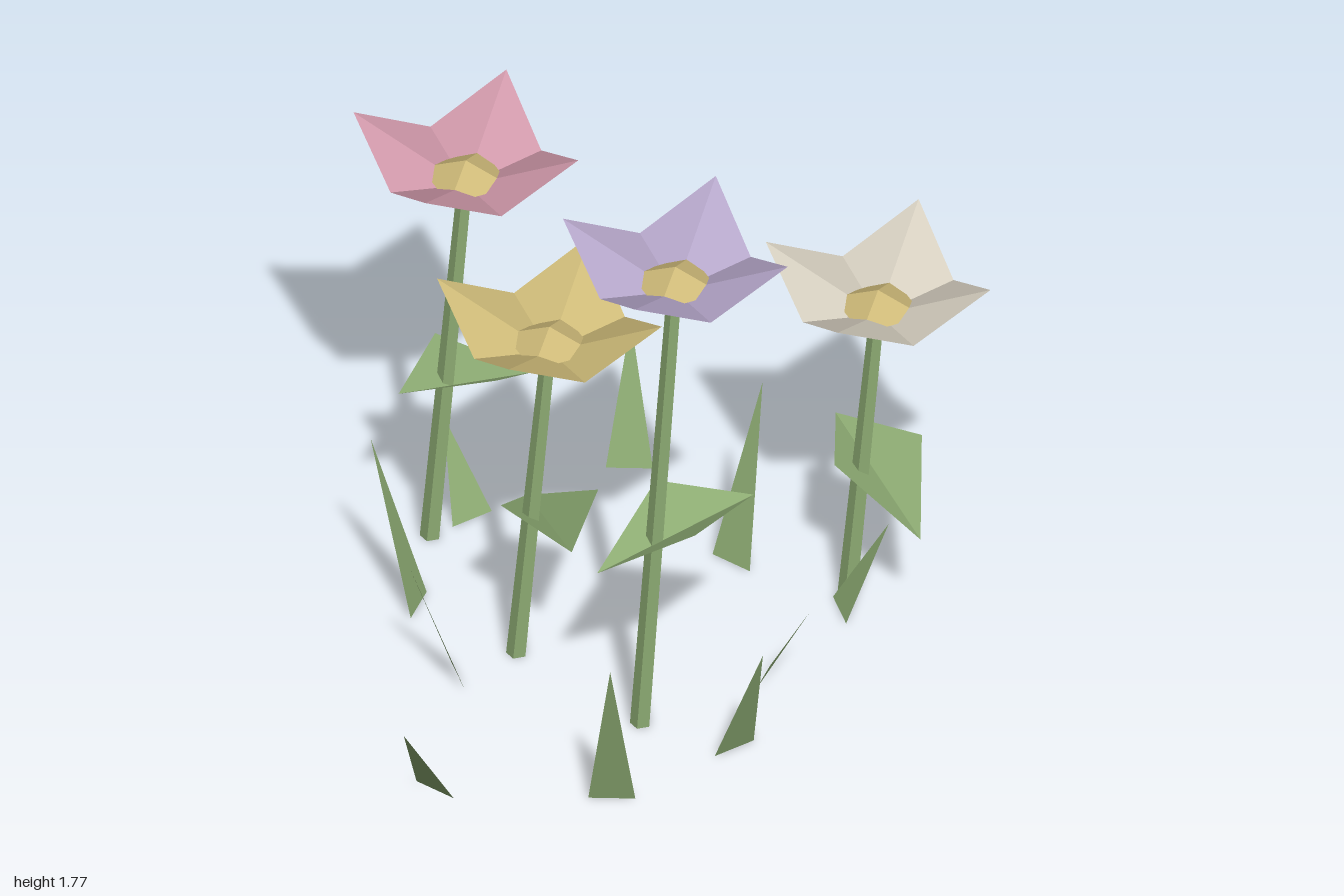
import * as THREE from 'three';

const flat = (name, color) =>
  Object.assign(new THREE.MeshStandardMaterial({ color, flatShading: true, side: THREE.DoubleSide }), { name });

const green = flat('leaf green', 0x8caa72);
const amber = flat('flower centre amber', 0xcdb978);
const rose = flat('rose petal', 0xcf98a9);
const gold = flat('gold petal', 0xcdba78);
const lilac = flat('lilac petal', 0xb5a6c9);
const ivory = flat('ivory petal', 0xd5cebf);

// Faceted surface from a list of triangles, each made of three [x, y, z] corners
function facets(triangles) {
  const g = new THREE.BufferGeometry();
  g.setAttribute('position', new THREE.Float32BufferAttribute(triangles.flat(2), 3));
  g.computeVertexNormals();
  return g;
}

// Kite folded along the line from base to tip
const foldedKite = (base, left, tip, right) => facets([[base, tip, left], [base, right, tip]]);

function add(parent, name, geometry, material) {
  const mesh = new THREE.Mesh(geometry, material);
  mesh.name = name;
  parent.add(mesh);
  return mesh;
}

const petalShape = foldedKite([0, -0.18, 0], [-0.175, -0.13, 0.175], [0, 0, 0.355], [0.175, -0.13, 0.175]);
const leafShape = foldedKite([-0.252, 0, 0], [0, 0.17, -0.15], [0.252, 0.147, 0], [0, 0.17, 0.15]);

// head: x, z and petal tip height; foot: x, z; leaf: base height and heading
const FLOWERS = [
  { name: 'rose', petal: rose, head: [-0.63, 1.455, -0.40], foot: [-0.72, -0.34], leaf: [0.47, -2.14] },
  { name: 'gold', petal: gold, head: [-0.195, 1.28, 0.075], foot: [-0.28, 0.125], leaf: [0.39, -0.96] },
  { name: 'lilac', petal: lilac, head: [0.28, 1.77, 0.29], foot: [0.185, 0.33], leaf: [0.62, 0.743] },
  { name: 'ivory', petal: ivory, head: [0.625, 1.2, -0.53], foot: [0.545, -0.49], leaf: [0.35, 2.44] },
];

function makeFlower({ name, petal, head, foot, leaf }) {
  const flower = new THREE.Group();
  flower.name = name + 'Flower';
  const [x, y, z] = head;

  // Leaning five-sided stem with a level foot
  const height = y - 0.16;
  const stem = new THREE.CylinderGeometry(0.024, 0.032, height, 5).translate(0, height / 2, 0);
  const p = stem.attributes.position;
  for (let i = 0; i < p.count; i++) {
    const t = p.getY(i) / height;
    p.setX(i, p.getX(i) + foot[0] + (x - foot[0]) * t);
    p.setZ(i, p.getZ(i) + foot[1] + (z - foot[1]) * t);
  }
  stem.computeVertexNormals();
  add(flower, 'stem', stem, green);

  // Four upswept petals around a squashed octahedral centre
  const bloom = new THREE.Group();
  bloom.name = 'bloom';
  bloom.position.set(x, y, z);
  for (let i = 0; i < 4; i++) add(bloom, 'petal', petalShape, petal).rotation.y = i * Math.PI / 2;
  const centre = add(bloom, 'flowerCentre', new THREE.OctahedronGeometry(0.145), amber);
  centre.scale.y = 0.42;
  centre.position.y = -0.15;
  flower.add(bloom);

  // One folded leaf across the stem
  const blade = add(flower, 'stemLeaf', leafShape, green);
  blade.position.set(x, leaf[0], z);
  blade.rotation.y = leaf[1];
  return flower;
}

export function createModel() {
  const model = new THREE.Group();
  model.name = 'flowerPatch';
  FLOWERS.forEach((f) => model.add(makeFlower(f)));

  // Ring of flat grass blades leaning outward, in three heights
  const radii = [0.45, 0.605, 0.75, 0.895, 0.5, 0.635, 0.78, 0.9, 0.54, 0.68];
  const heights = [0.287, 0.435, 0.578];
  const shapes = heights.map((h) => facets([[[0, 0, 0.07], [0.152, h, 0], [0, 0, -0.07]]]));
  radii.forEach((r, i) => {
    const a = (i / radii.length) * Math.PI * 2;
    const blade = add(model, 'grassBlade', shapes[i % 3], green);
    blade.position.set(r * Math.cos(a), 0, r * Math.sin(a));
    blade.rotation.y = -a;
  });
  return model;
}
